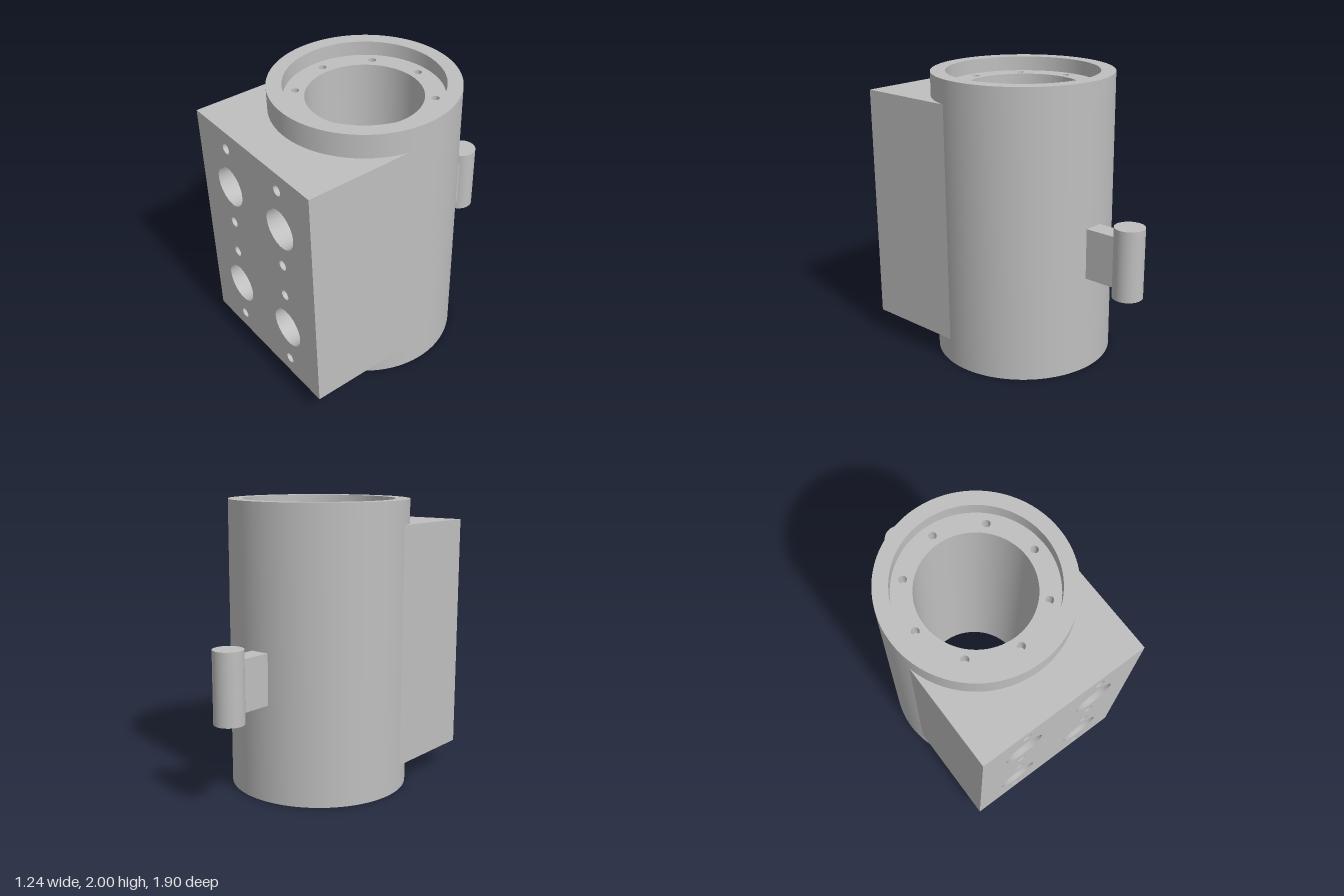
import * as THREE from 'three';
import { toCreasedNormals } from 'three/addons/utils/BufferGeometryUtils.js';

const AXIS_Z = 0.067; // centre line of the tube
const R_OUT = 0.622, R_RECESS = 0.522, R_BORE = 0.384;
const RECESS = 0.1;
const HALF_W = 0.604, BLOCK_Y0 = 0.17, BLOCK_Y1 = 1.835, FRONT_Z = 0.947, PORT_DEPTH = 0.22;

export function createModel() {
  const metal = new THREE.MeshStandardMaterial({ color: 0xbfbfbf });
  metal.name = 'greyMetal';
  const model = new THREE.Group();
  model.name = 'housing';

  const add = (name, geometry, x = 0, y = 0, z = 0) => {
    const mesh = new THREE.Mesh(geometry, metal);
    mesh.name = name;
    mesh.position.set(x, y, z);
    model.add(mesh);
    return mesh;
  };
  const addHole = (shape, x, y, r) => {
    const hole = new THREE.Path();
    hole.absarc(x, y, r, 0, Math.PI * 2, true);
    shape.holes.push(hole);
  };
  const extrude = (shape, depth) => toCreasedNormals(
    new THREE.ExtrudeGeometry(shape, { depth, bevelEnabled: false, curveSegments: 64 }), 0.5);

  // Outer tube
  const wall = [[R_RECESS, 0], [R_OUT, 0], [R_OUT, 2], [R_RECESS, 2], [R_RECESS, 0]]
    .map(([r, y]) => new THREE.Vector2(r, y));
  add('outerTube', toCreasedNormals(new THREE.LatheGeometry(wall, 128), 0.5), 0, 0, AXIS_Z);

  // Inner sleeve: recessed ledges at both ends, with a ring of blind bolt holes
  const ring = new THREE.Shape();
  ring.absarc(0, 0, R_RECESS + 0.01, 0, Math.PI * 2, false);
  addHole(ring, 0, 0, R_BORE);
  const boltPlug = new THREE.CylinderGeometry(0.028, 0.028, 2 - 2 * RECESS - 0.2, 24);
  for (let i = 0; i < 8; i++) {
    const a = i * Math.PI / 4;
    const x = 0.45 * Math.cos(a), y = 0.45 * Math.sin(a);
    addHole(ring, x, y, 0.026);
    add('boltHoleFloor', boltPlug, x, 1, AXIS_Z - y);
  }
  add('innerSleeve', extrude(ring, 2 - 2 * RECESS).rotateX(-Math.PI / 2), 0, RECESS, AXIS_Z);

  // Block behind the mounting face, its back hugging the tube
  const coreFront = -(FRONT_Z - PORT_DEPTH - AXIS_Z);
  const core = new THREE.Shape();
  core.moveTo(HALF_W, 0);
  core.lineTo(-HALF_W, 0);
  core.lineTo(-HALF_W, coreFront);
  core.lineTo(HALF_W, coreFront);
  core.closePath();
  // Replace the straight back with a half circle inside the tube wall
  const saddle = new THREE.Shape();
  saddle.moveTo(-HALF_W, coreFront);
  saddle.lineTo(HALF_W, coreFront);
  saddle.lineTo(HALF_W, 0);
  saddle.absarc(0, 0, HALF_W, 0, -Math.PI, true);
  saddle.closePath();
  add('blockCore', extrude(saddle, BLOCK_Y1 - BLOCK_Y0).rotateX(-Math.PI / 2), 0, BLOCK_Y0, AXIS_Z);

  // Mounting face with four ports and eight screw holes
  const face = new THREE.Shape();
  face.moveTo(-HALF_W, BLOCK_Y0);
  face.lineTo(HALF_W, BLOCK_Y0);
  face.lineTo(HALF_W, BLOCK_Y1);
  face.lineTo(-HALF_W, BLOCK_Y1);
  face.closePath();
  const screwFloor = new THREE.CircleGeometry(0.037, 24);
  for (const x of [-0.278, 0.278]) {
    for (const y of [0.587, 1.42]) {
      addHole(face, x, y, 0.14);
      for (const dy of [-0.29, 0.29]) {
        addHole(face, x, y + dy, 0.036);
        add('screwHoleFloor', screwFloor, x, y + dy, FRONT_Z - 0.12);
      }
    }
  }
  add('mountingFace', extrude(face, PORT_DEPTH), 0, 0, FRONT_Z - PORT_DEPTH);

  // Rear lug: flat arm carrying an upright pin
  add('lugArm', new THREE.BoxGeometry(0.136, 0.352, 0.29), 0, 0.851, -0.655);
  add('lugPin', new THREE.CylinderGeometry(0.103, 0.103, 0.488, 64), 0, 0.851, -0.847);

  return model;
}
